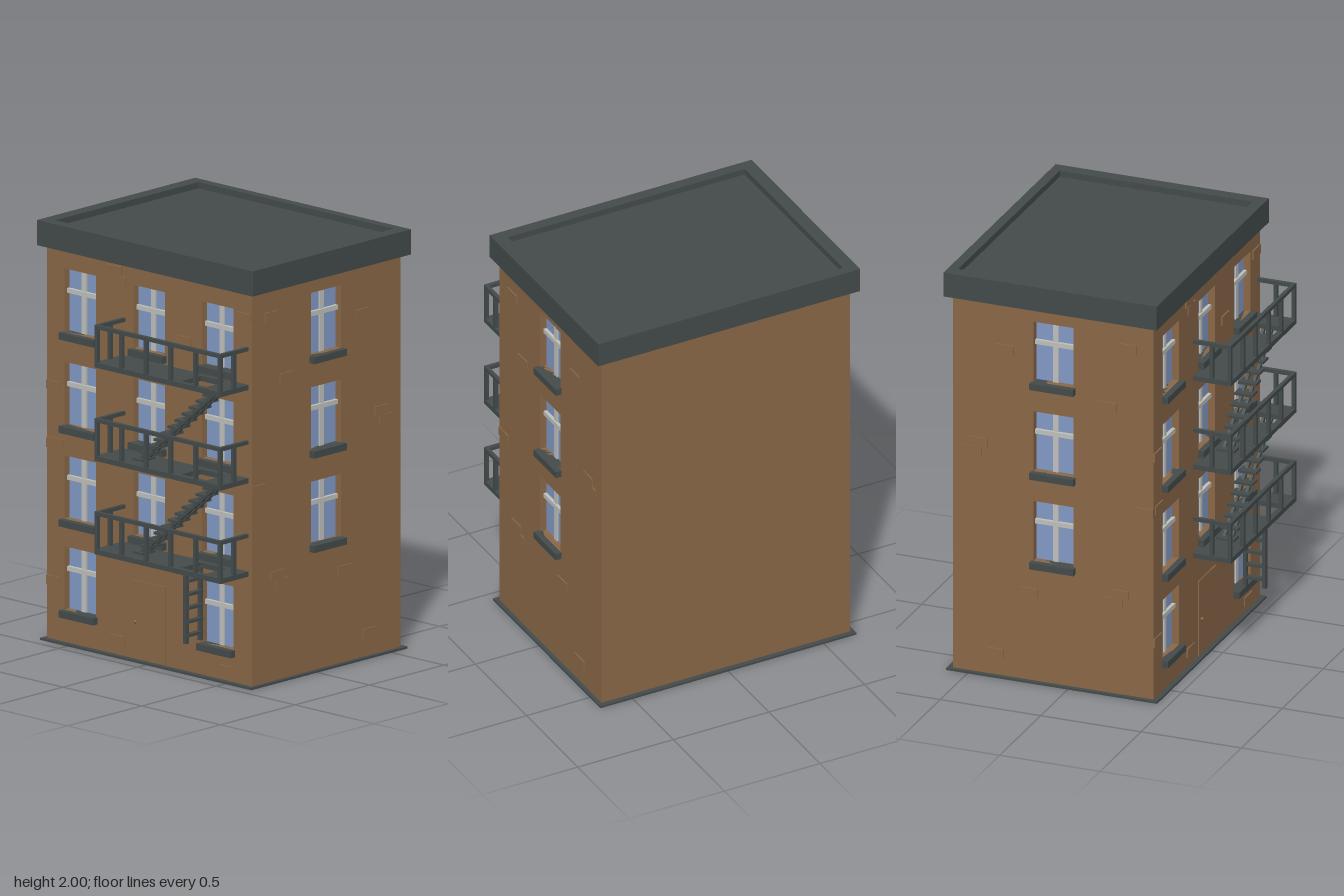
import * as THREE from 'three';

const mat = (name, color) => {
  const m = new THREE.MeshStandardMaterial({ color });
  m.name = name;
  return m;
};

export function createModel() {
  const brick = mat('brick', 0x8a6847);
  const iron = mat('dark iron', 0x434b4a);
  const glass = mat('window glass', 0x829ac6);
  const frame = mat('window frame', 0xc0c0bc);

  const model = new THREE.Group();
  model.name = 'apartmentBuilding';

  const group = (parent, name) => {
    const g = new THREE.Group();
    g.name = name;
    parent.add(g);
    return g;
  };
  const add = (parent, name, geo, material) => {
    const m = new THREE.Mesh(geo, material);
    m.name = name;
    parent.add(m);
    return m;
  };
  // Box given by its minimum and maximum on each axis
  const box = (parent, name, material, x0, x1, y0, y1, z0, z1) => {
    const m = add(parent, name, new THREE.BoxGeometry(x1 - x0, y1 - y0, z1 - z0), material);
    m.position.set((x0 + x1) / 2, (y0 + y1) / 2, (z0 + z1) / 2);
    return m;
  };
  const trace = (path, x0, x1, y0, y1) => {
    path.moveTo(x0, y0);
    path.lineTo(x1, y0);
    path.lineTo(x1, y1);
    path.lineTo(x0, y1);
    path.closePath();
    return path;
  };
  // Rectangular slab with rectangular holes, extruded along z
  const pierced = (rect, holes, depth) => {
    const s = trace(new THREE.Shape(), ...rect);
    for (const h of holes) s.holes.push(trace(new THREE.Path(), ...h));
    return new THREE.ExtrudeGeometry(s, { depth, bevelEnabled: false });
  };

  const REVEAL = 0.04;

  // Recessed sash window and its sill; outer wall surface is at local z = 0
  const addWindow = (parent, [x0, x1, y0, y1]) => {
    const w = group(parent, 'window');
    const cx = (x0 + x1) / 2;
    const by = y0 + (y1 - y0) * 0.64;
    box(w, 'glass', glass, x0, x1, y0, y1, -REVEAL, -REVEAL + 0.006);
    box(w, 'mullion', frame, cx - 0.014, cx + 0.014, y0, y1, -REVEAL, -REVEAL + 0.014);
    box(w, 'crossBar', frame, x0, x1, by - 0.011, by + 0.011, -REVEAL, -REVEAL + 0.022);
    box(w, 'sill', iron, x0 - 0.01, x1 + 0.01, y0 - 0.033, y0, -REVEAL + 0.006, 0.03);
  };
  const addWall = (name, rect, windows, bricks) => {
    const wall = group(model, name);
    add(wall, 'brickwork', pierced(rect, windows, REVEAL), brick).position.z = -REVEAL;
    windows.forEach((w) => addWindow(wall, w));
    for (const [x, y] of bricks)
      box(wall, 'raisedBrick', brick, x - 0.045, x + 0.045, y - 0.022, y + 0.022, -0.01, 0.006);
    return wall;
  };

  // Main block behind the pierced walls
  box(model, 'core', brick, -0.61, 0.61, 0, 1.89, -0.58, 0.38);

  // Front wall: four storeys, door instead of the middle ground window
  const frontWindows = [];
  [0.163, 0.597, 1.043, 1.488].forEach((y, row) => {
    for (const x of [-0.44, 0, 0.435])
      if (row > 0 || x !== 0) frontWindows.push([x - 0.1, x + 0.1, y, y + 0.302]);
  });
  const front = addWall('frontWall', [-0.65, 0.65, 0, 1.89], frontWindows, [
    [-0.605, 1.22], [-0.59, 0.95], [-0.22, 1.84], [-0.19, 1.795], [0.22, 1.58],
    [-0.605, 0.29], [-0.2, 0.08], [0.5, 0.06], [0.6, 1.76],
  ]);
  front.position.z = 0.42;
  box(front, 'door', brick, -0.108, 0.105, 0.012, 0.387, -0.01, 0.005);
  const knob = add(front, 'doorKnob', new THREE.SphereGeometry(0.008, 10, 8), brick);
  knob.position.set(-0.08, 0.19, 0.009);

  // Side walls mirror each other
  for (const s of [1, -1]) {
    const windows = [0.61, 1.06, 1.51].map((y) => {
      const c = s * 0.078;
      return [c - 0.1, c + 0.1, y, y + 0.3];
    });
    const bricks = [
      [-0.29, 1.75], [0.32, 1.65], [-0.19, 1.445], [0.45, 1.165], [0.48, 1.12],
      [-0.25, 0.51], [-0.22, 0.466], [0.2, 0.45], [0.37, 0.12], [-0.375, 0.94],
    ].map(([x, y]) => [s * x, y]);
    const rect = s > 0 ? [-0.38, 0.58, 0, 1.89] : [-0.58, 0.38, 0, 1.89];
    const wall = addWall(s > 0 ? 'leftWall' : 'rightWall', rect, windows, bricks);
    wall.rotation.y = (s * Math.PI) / 2;
    wall.position.x = s * 0.65;
  }

  // Thin footing around the base
  const flat = (parent, name, rect, holes, y, depth) => {
    const m = add(parent, name, pierced(rect, holes, depth), iron);
    m.rotation.x = -Math.PI / 2;
    m.position.y = y;
    return m;
  };
  flat(model, 'footing', [-0.67, 0.67, -0.445, 0.605], [[-0.648, 0.648, -0.418, 0.578]], 0, 0.01);

  // Flat roof with a raised rim
  const roof = group(model, 'roof');
  flat(roof, 'parapet', [-0.685, 0.685, -0.45, 0.612], [[-0.62, 0.62, -0.395, 0.565]], 1.88, 0.12);
  box(roof, 'roofDeck', iron, -0.625, 0.625, 1.885, 1.97, -0.57, 0.4);

  // Fire escape: three railed landings
  const escape = group(model, 'fireEscape');
  const levels = [0.53, 0.975, 1.42];
  const X0 = -0.17, X1 = 0.63, Z0 = 0.42, Z1 = 0.61, B = 0.018;
  for (const y of levels) {
    const landing = group(escape, 'landing');
    flat(landing, 'floor', [X0, X1, -Z1, -Z0], [[0.357, 0.515, -0.582, -0.452]], y, 0.024);
    const top = y + 0.203;
    box(landing, 'frontRail', iron, X0, X1, top - B, top, Z1 - B, Z1);
    for (let i = 0; i < 6; i++) {
      const x = X0 + (i * (X1 - X0 - B)) / 5;
      box(landing, 'frontPost', iron, x, x + B, y + 0.02, top - B, Z1 - B, Z1);
    }
    for (const x of [X0, X1 - B]) {
      box(landing, 'sideRail', iron, x, x + B, top - B, top, Z0, Z1 - B);
      box(landing, 'sidePost', iron, x, x + B, y + 0.02, top - B, 0.502, 0.502 + B);
    }
  }

  // Stairs between landings
  for (const y of levels.slice(0, 2)) {
    const stairs = group(escape, 'stairs');
    const a = new THREE.Vector2(0.05, y + 0.03);
    const b = new THREE.Vector2(0.54, y + 0.443);
    const d = b.clone().sub(a);
    for (const z of [0.487, 0.525]) {
      const bar = add(stairs, 'stringer', new THREE.BoxGeometry(d.length(), 0.018, 0.014), iron);
      bar.position.set((a.x + b.x) / 2, (a.y + b.y) / 2, z);
      bar.rotation.z = d.angle();
    }
    for (let i = 0; i < 11; i++) {
      const x = 0.015 + i * 0.0445, ty = y + 0.03 + i * 0.0385;
      box(stairs, 'tread', iron, x, x + 0.062, ty - 0.005, ty + 0.007, 0.46, 0.55);
    }
  }

  // Drop ladder below the lowest landing
  const ladder = group(escape, 'ladder');
  for (const z of [0.464, 0.56])
    box(ladder, 'ladderRail', iron, 0.355, 0.375, 0.19, 0.54, z - 0.009, z + 0.009);
  for (let i = 0; i < 5; i++) {
    const y = 0.23 + i * 0.065;
    box(ladder, 'rung', iron, 0.358, 0.384, y - 0.007, y + 0.007, 0.464, 0.56);
  }

  return model;
}
